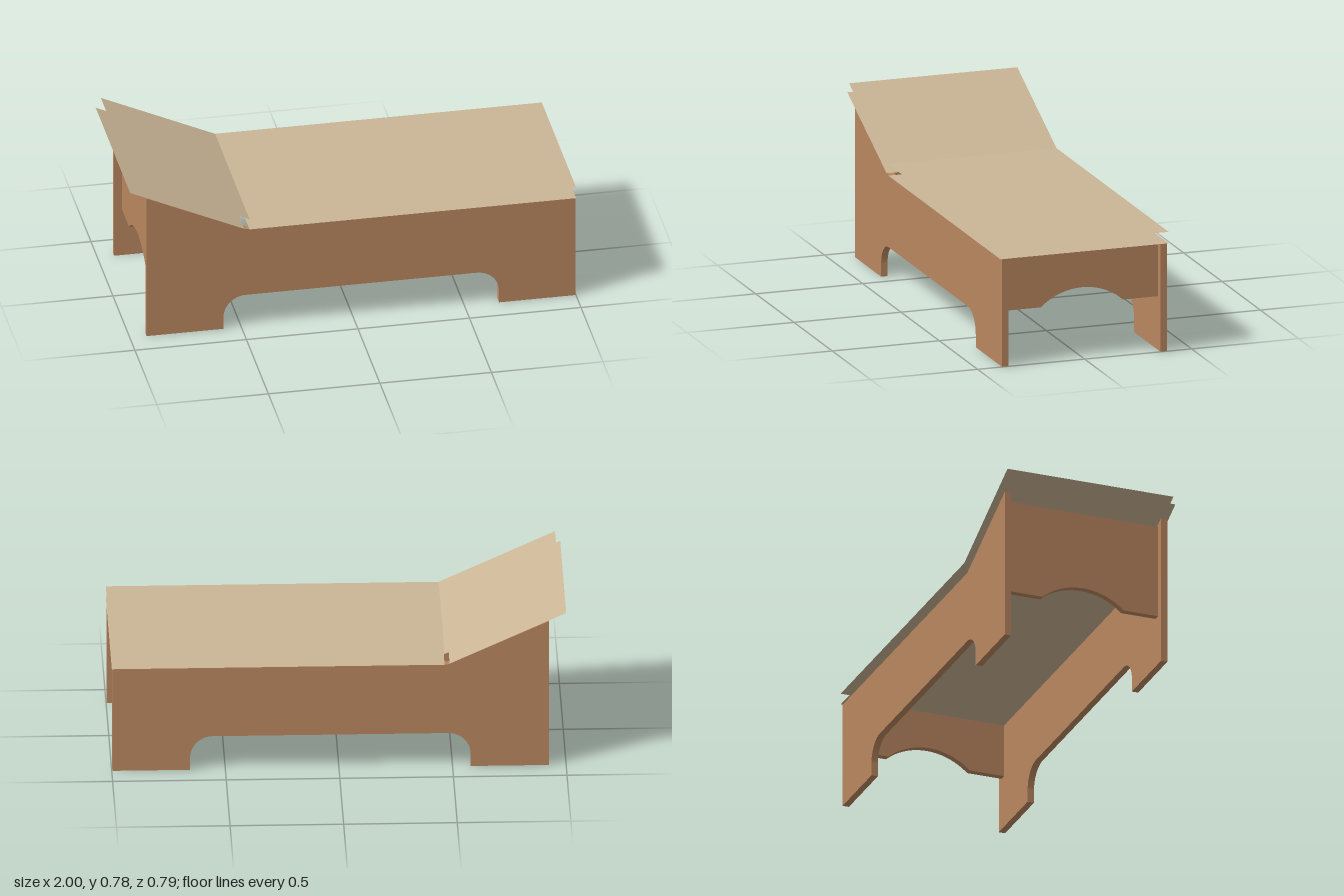
import * as THREE from 'three';

const wood = new THREE.MeshStandardMaterial({ color: 0xb98760 });
wood.name = 'wood';
const fabric = new THREE.MeshStandardMaterial({ color: 0xcab596, side: THREE.DoubleSide });
fabric.name = 'beige fabric';

const THICK = 0.03;      // board thickness
const HALF_WIDTH = 0.393; // half width of the mattress

function board(shape, name) {
  const geo = new THREE.ExtrudeGeometry(shape, { depth: THICK, bevelEnabled: false, curveSegments: 12 });
  const mesh = new THREE.Mesh(geo, wood);
  mesh.name = name;
  return mesh;
}

// Long side board: raised head end and a rounded cut-out between the feet
function sideShape() {
  const s = new THREE.Shape();
  const l = -0.58, r = 0.655, top = 0.16, rad = 0.1;
  s.moveTo(-0.925, 0);
  s.lineTo(l, 0);
  s.lineTo(l, top - rad);
  s.absarc(l + rad, top - rad, rad, Math.PI, Math.PI / 2, true);
  s.lineTo(r - rad, top);
  s.absarc(r - rad, top - rad, rad, Math.PI / 2, 0, true);
  s.lineTo(r, 0);
  s.lineTo(0.997, 0);
  s.lineTo(0.997, 0.4905);
  s.lineTo(-0.48, 0.4905);
  s.lineTo(-0.925, 0.692);
  s.closePath();
  return s;
}

// Cross board with a shallow arch in its lower edge
function endShape(bottom, top) {
  const s = new THREE.Shape();
  const w = 0.355, a = 0.192, rise = 0.074;
  const R = (a * a + rise * rise) / (2 * rise);
  const half = Math.asin(a / R);
  s.moveTo(-w, bottom);
  s.lineTo(-a, bottom);
  s.absarc(0, bottom + rise - R, R, Math.PI / 2 + half, Math.PI / 2 - half, true);
  s.lineTo(w, bottom);
  s.lineTo(w, top);
  s.lineTo(-w, top);
  s.closePath();
  return s;
}

// Flat sheet spanning the width between two points (x, y), facing up
function sheet(x0, y0, x1, y1, name) {
  const geo = new THREE.PlaneGeometry(Math.hypot(x1 - x0, y1 - y0), HALF_WIDTH * 2);
  geo.rotateX(-Math.PI / 2);
  geo.rotateZ(Math.atan2(y1 - y0, x1 - x0));
  geo.translate((x0 + x1) / 2, (y0 + y1) / 2, 0);
  const mesh = new THREE.Mesh(geo, fabric);
  mesh.name = name;
  return mesh;
}

export function createModel() {
  const group = new THREE.Group();
  group.name = 'daybed';

  // Side boards
  for (const [z, name] of [[0.355, 'frontSideBoard'], [-0.385, 'backSideBoard']]) {
    const side = board(sideShape(), name);
    side.position.z = z;
    group.add(side);
  }

  // Cross boards at the foot and head, set in from the ends
  for (const [x, bottom, top, name] of [
    [0.935, 0.245, 0.4905, 'footBoard'],
    [-0.89, 0.231, 0.665, 'headBoard'],
  ]) {
    const end = board(endShape(bottom, top), name);
    end.rotation.y = Math.PI / 2;
    end.position.x = x;
    group.add(end);
  }

  // Mattress: open top and bottom sheets, flat part and tilted headrest
  group.add(sheet(-0.465, 0.544, 1, 0.544, 'mattressTop'));
  group.add(sheet(-0.465, 0.492, 1, 0.492, 'mattressBottom'));
  group.add(sheet(-0.977, 0.78, -0.465, 0.544, 'headrestTop'));
  group.add(sheet(-1, 0.733, -0.487, 0.497, 'headrestBottom'));

  return group;
}
